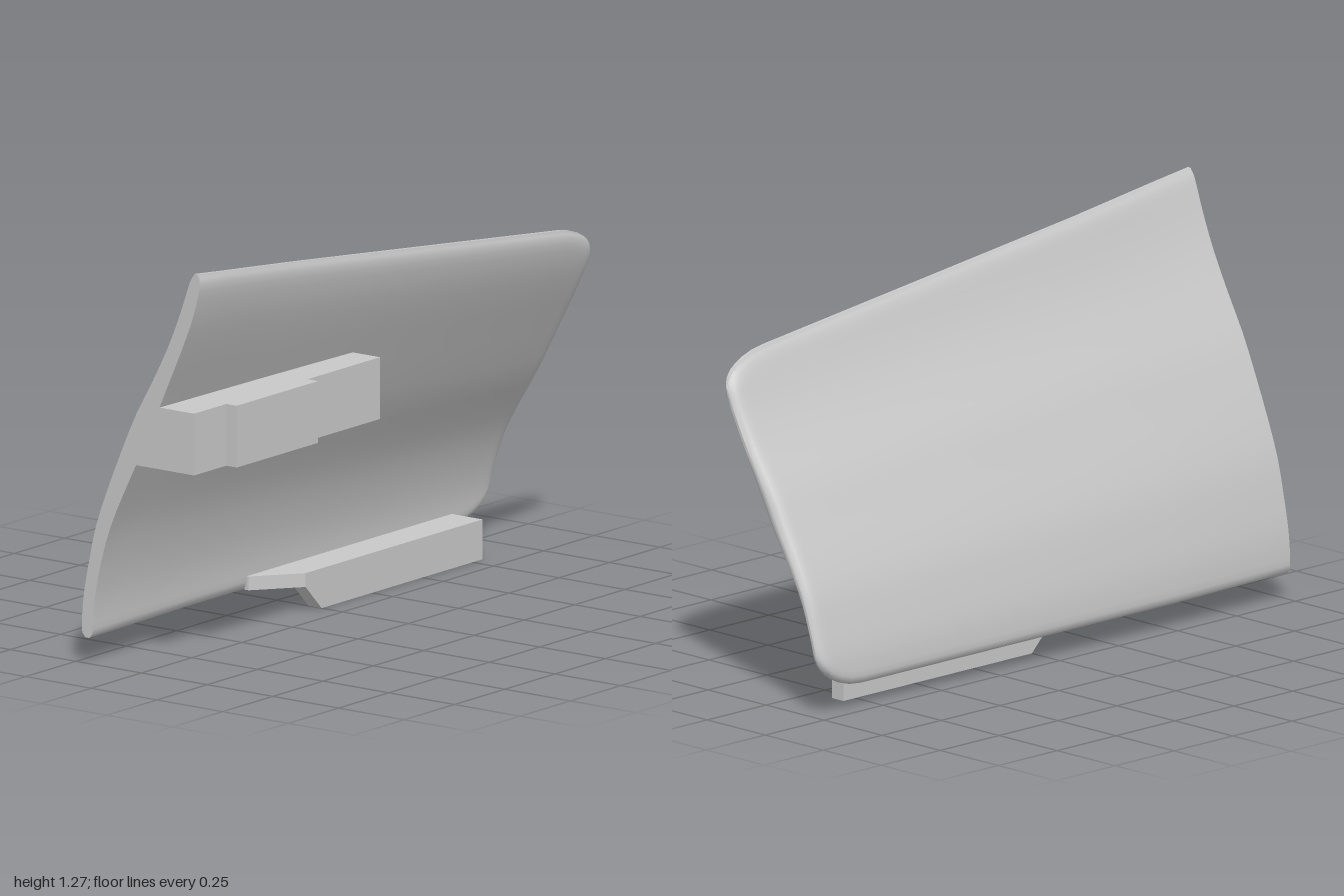
import * as THREE from 'three';
import { toCreasedNormals } from 'three/addons/utils/BufferGeometryUtils.js';

// Evenly spaced heights, bottom to top: x of the outer and inner skin
const curve = (xs) => new THREE.SplineCurve(xs.map((x, i) => new THREE.Vector2(x, i / (xs.length - 1))));
const outerSkin = curve([-0.228, -0.222, -0.2, -0.172, -0.128, -0.078, -0.024, 0.042, 0.103, 0.152, 0.188]);
const innerSkin = curve([-0.185, -0.178, -0.155, -0.118, -0.064, -0.005, 0.05, 0.103, 0.156, 0.202, 0.228]);

const BOTTOM = 0.08;
const topLine = (z) => 1.27 - 0.1165 * (1 - z);

// Curved panel: cross-sections lofted from front to back
function panelGeometry() {
  const N = 30, ring = 2 * (N + 1);
  const stations = [1, 0.85, 0.7, 0.5, 0.25, 0, -0.25, -0.5, -0.75, -0.82, -0.87, -0.91, -0.94, -0.96, -0.975, -0.985, -0.993, -0.998, -1];
  const pos = [], index = [];
  for (const z of stations) {
    // rounded rear corners and thinned rear edge
    const c = Math.max(0, (-0.82 - z) / 0.18);
    const corner = 1 - Math.sqrt(Math.max(0, 1 - c * c));
    const y0 = BOTTOM + 0.12 * corner, y1 = topLine(z) - 0.09 * corner;
    const e = Math.max(0, (-0.96 - z) / 0.04);
    const thin = Math.max(0.2, Math.sqrt(Math.max(0, 1 - e * e)));
    const bow = 0.015 * THREE.MathUtils.smoothstep(1 - z, 0, 0.6);
    const outer = [], inner = [];
    for (let i = 0; i <= N; i++) {
      const y = y0 + (y1 - y0) * (0.5 - 0.5 * Math.cos(Math.PI * i / N));
      const v = THREE.MathUtils.clamp((y - BOTTOM) / (topLine(z) - BOTTOM), 0, 1);
      const d = Math.min(1, (y - y0) / 0.025, (y1 - y) / 0.05);
      const round = Math.max(0.3, Math.sqrt(Math.max(0, 1 - (1 - d) ** 2))) * thin;
      const a = outerSkin.getPoint(v).x, b = innerSkin.getPoint(v).x;
      const mid = (a + b) / 2 - bow * Math.abs(2 * v - 1), half = (b - a) / 2 * round;
      outer.push([mid - half, y, z]);
      inner.push([mid + half, y, z]);
    }
    pos.push(...outer.flat(), ...inner.reverse().flat());
  }
  const last = (stations.length - 1) * ring;
  for (let s = 0; s < last; s += ring) {
    for (let j = 0; j < ring; j++) {
      const a = s + j, b = s + (j + 1) % ring;
      index.push(a, b, a + ring, b, b + ring, a + ring);
    }
  }
  // front and rear end faces
  for (let i = 0; i < N; i++) {
    const o = i, p = i + 1, q = ring - 1 - i, r = ring - 2 - i;
    index.push(o, q, r, o, r, p);
    index.push(last + o, last + r, last + q, last + o, last + p, last + r);
  }
  const g = new THREE.BufferGeometry();
  g.setAttribute('position', new THREE.Float32BufferAttribute(pos, 3));
  g.setIndex(index);
  return toCreasedNormals(g, 0.6);
}

// Outline extruded along its third axis
function prism(points, depth) {
  const shape = new THREE.Shape(points.map(([x, y]) => new THREE.Vector2(x, y)));
  return new THREE.ExtrudeGeometry(shape, { depth, bevelEnabled: false });
}

export function createModel() {
  const model = new THREE.Group();
  const grey = new THREE.MeshStandardMaterial({ color: 0xc8c8c8 });
  grey.name = 'light grey';
  const add = (name, geometry) => {
    const mesh = new THREE.Mesh(geometry, grey);
    mesh.name = name;
    model.add(mesh);
    return mesh;
  };

  add('curvedPanel', panelGeometry());

  // Upper mounting block, rooted inside the panel
  const block = prism([[-0.04, 0.643], [0.2, 0.643], [0.2, 0.835], [0.06, 0.835]], 0.925);
  add('mountingBlock', block.translate(0, 0, 0.075));

  // Raised pad on the block
  add('blockPad', new THREE.BoxGeometry(0.06, 0.192, 0.405)).position.set(0.21, 0.739, 0.6375);

  // Lower ledge with a slanted front end (plan outline: x, -z)
  const ledge = prism([[-0.205, -0.22], [-0.19, -0.22], [-0.08, -0.08], [-0.08, 0.8], [-0.205, 0.8]], 0.043);
  add('lowerLedge', ledge.rotateX(-Math.PI / 2).translate(0, 0.081, 0));

  // Downward lip with a sloped front (side outline: -z, y)
  const lip = prism([[-0.08, 0.081], [0, 0], [0.8, 0], [0.8, 0.081]], 0.05);
  add('lowerLip', lip.rotateY(Math.PI / 2).translate(-0.13, 0, 0));

  return model;
}
